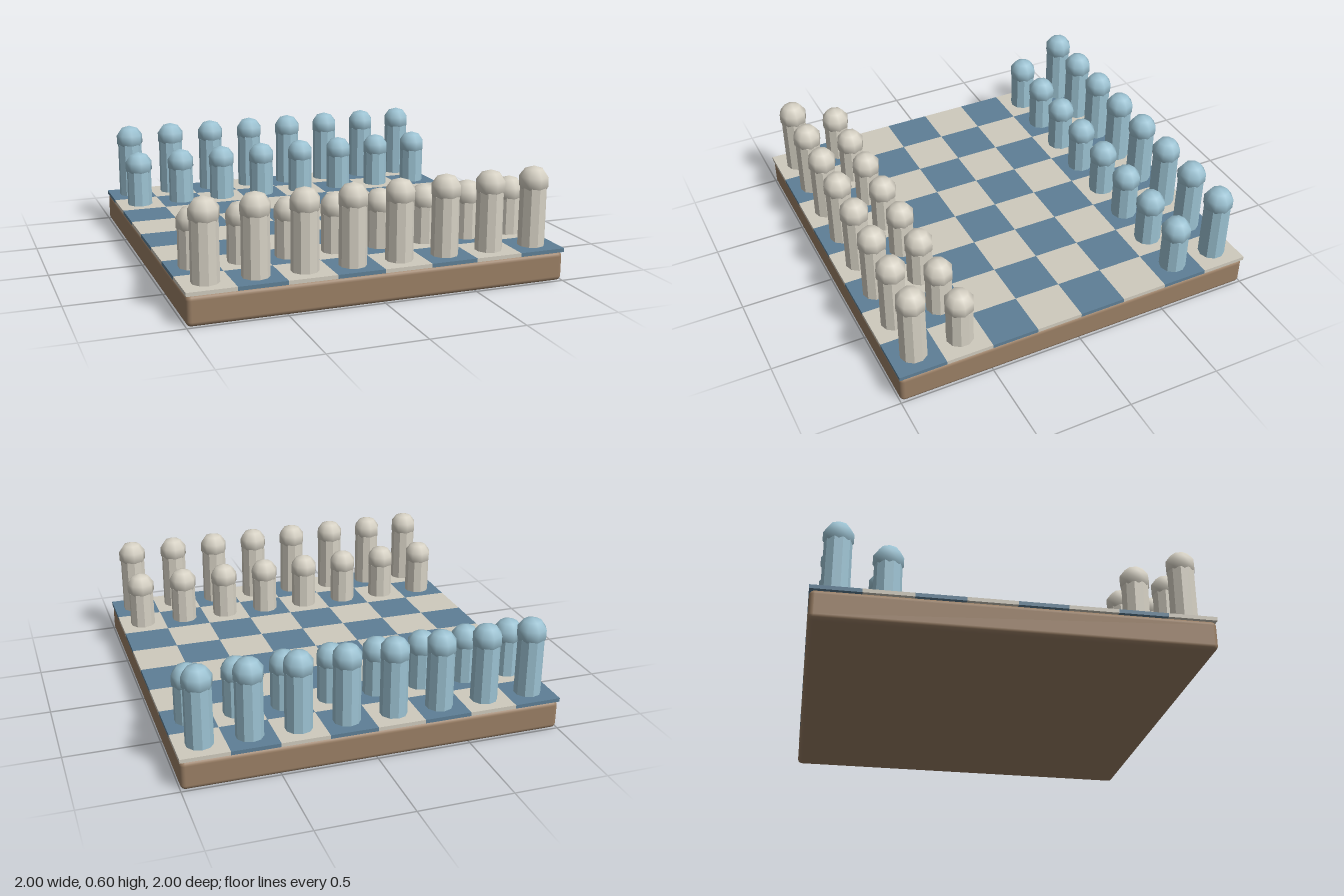
import * as THREE from 'three';
import { RoundedBoxGeometry } from 'three/addons/geometries/RoundedBoxGeometry.js';

export function createModel() {
  const mat = (name, color, flatShading = false) => {
    const m = new THREE.MeshStandardMaterial({ color, flatShading });
    m.name = name;
    return m;
  };
  const wood = mat('wood', 0x9a7f65);
  const lightTile = mat('light tile', 0xcfcabd);
  const blueTile = mat('blue tile', 0x5e7f96);
  const ivory = mat('ivory piece', 0xd6d1c4);
  const paleBlue = mat('pale blue piece', 0x9cc2d2);

  const model = new THREE.Group();
  model.name = 'chessSet';
  const add = (parent, name, geometry, material, x, y, z) => {
    const mesh = new THREE.Mesh(geometry, material);
    mesh.name = name;
    mesh.position.set(x, y, z);
    parent.add(mesh);
    return mesh;
  };

  // Board base with softened edges
  const baseTop = 0.155, boardTop = 0.175, cell = 0.25;
  add(model, 'boardBase', new RoundedBoxGeometry(1.995, baseTop, 1.995, 3, 0.025), wood, 0, baseTop / 2, 0);

  // Eight by eight tiles
  const centre = (i) => (i - 3.5) * cell;
  const tileGeo = new THREE.BoxGeometry(cell, boardTop - baseTop, cell);
  const tiles = new THREE.Group();
  tiles.name = 'tiles';
  model.add(tiles);
  for (let i = 0; i < 8; i++) {
    for (let j = 0; j < 8; j++) {
      add(tiles, 'tile', tileGeo, (i + j) % 2 ? lightTile : blueTile,
        centre(i), (baseTop + boardTop) / 2, centre(j));
    }
  }

  // Faceted body for the pieces: ten flat sides
  const bodyGeometry = (height) =>
    new THREE.CylinderGeometry(0.07, 0.071, height, 10).toNonIndexed();
  const headGeo = new THREE.SphereGeometry(0.081, 8, 5);

  // A row of eight pieces, each a body with a ball head
  const addRow = (name, row, headY, material) => {
    const height = headY - 0.03 - boardTop;
    const bodyGeo = bodyGeometry(height);
    bodyGeo.computeVertexNormals();
    const group = new THREE.Group();
    group.name = name;
    model.add(group);
    for (let i = 0; i < 8; i++) {
      const piece = new THREE.Group();
      piece.name = 'piece';
      piece.position.set(centre(i), 0, centre(row));
      group.add(piece);
      add(piece, 'body', bodyGeo, material, 0, boardTop + height / 2, 0);
      add(piece, 'head', headGeo, material, 0, headY, 0);
    }
  };
  const tall = 0.515, short = 0.405;
  addRow('backTallRow', 0, tall, paleBlue);
  addRow('backPawnRow', 1, short, paleBlue);
  addRow('frontPawnRow', 6, short, ivory);
  addRow('frontTallRow', 7, tall, ivory);

  return model;
}
